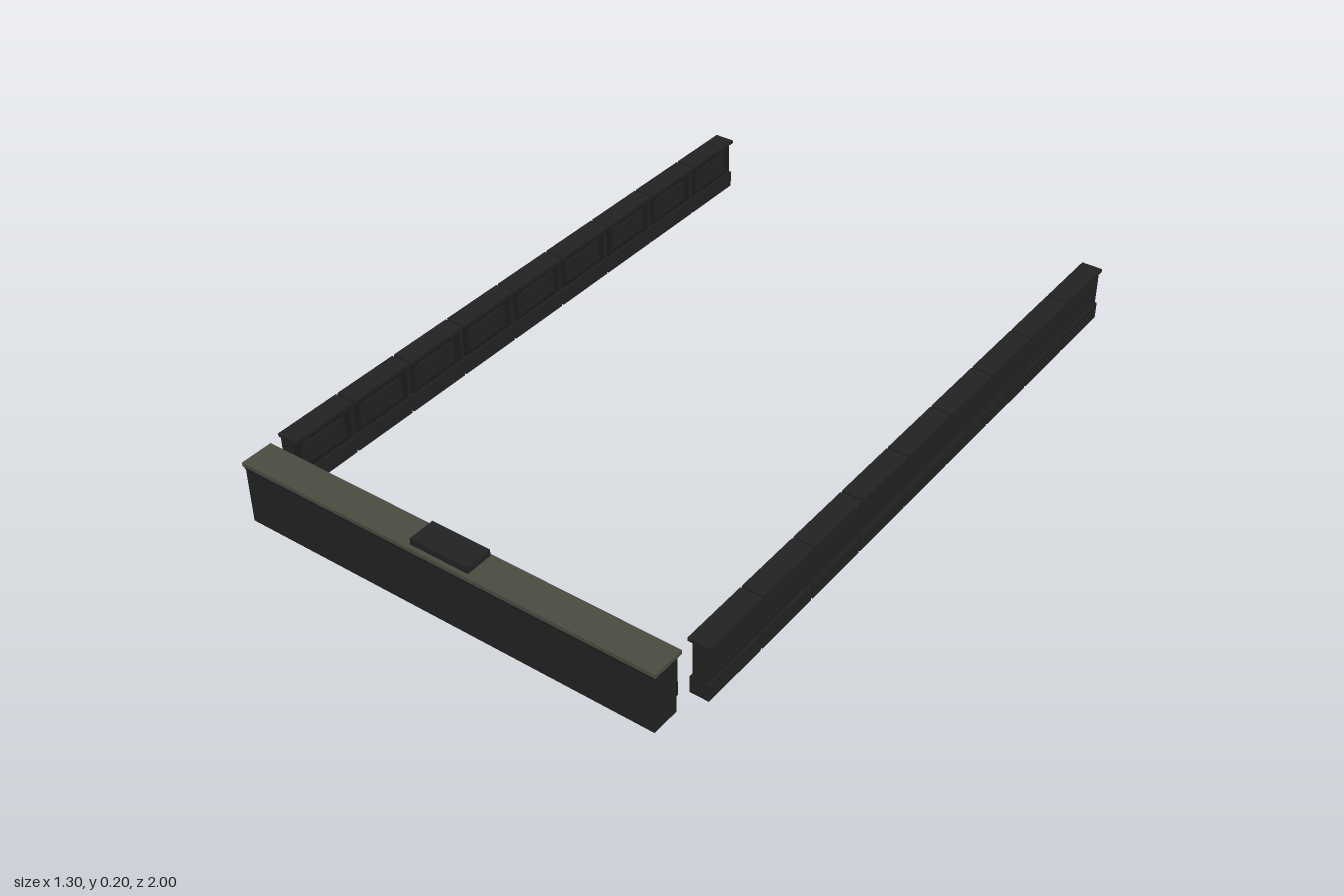
import * as THREE from 'three';

const mat = (name, color) => {
  const m = new THREE.MeshStandardMaterial({ color });
  m.name = name;
  return m;
};

export function createModel() {
  const black = mat('black board', 0x222222);
  const trim = mat('dark trim', 0x1c1c1c);
  const olive = mat('olive ledge', 0x4a4c40);

  // Box given by its lower and upper corners
  const box = (parent, name, m, x0, x1, y0, y1, z0, z1) => {
    const mesh = new THREE.Mesh(new THREE.BoxGeometry(x1 - x0, y1 - y0, z1 - z0), m);
    mesh.position.set((x0 + x1) / 2, (y0 + y1) / 2, (z0 + z1) / 2);
    mesh.name = name;
    parent.add(mesh);
    return mesh;
  };

  // Rectangular frame in the XY plane, facing +z
  const frame = (w, h, border, depth) => {
    const s = new THREE.Shape();
    s.moveTo(-w / 2, -h / 2).lineTo(w / 2, -h / 2).lineTo(w / 2, h / 2).lineTo(-w / 2, h / 2).closePath();
    const a = w / 2 - border, b = h / 2 - border;
    const hole = new THREE.Path();
    hole.moveTo(-a, -b).lineTo(-a, b).lineTo(a, b).lineTo(a, -b).closePath();
    s.holes.push(hole);
    return new THREE.ExtrudeGeometry(s, { depth, bevelEnabled: false });
  };

  const model = new THREE.Group();
  model.name = 'barrierEnclosure';

  // Front barrier with its ledge and raised top plate
  const front = new THREE.Group();
  front.name = 'frontBarrier';
  model.add(front);
  box(front, 'frontWall', black, -0.607, 0.607, 0.006, 0.171, 0.917, 0.997);
  box(front, 'ledgeLip', trim, -0.61, 0.61, 0.165, 0.172, 0.91, 0.998);
  box(front, 'topLedge', olive, -0.614, 0.614, 0.172, 0.183, 0.906, 1);
  box(front, 'topPlate', black, -0.086, 0.086, 0.183, 0.201, 0.911, 0.988);

  // Row of framed panels on the inner face of the front barrier
  const doorFrame = frame(0.136, 0.116, 0.014, 0.014);
  for (let i = 0; i < 8; i++) {
    const x = (i - 3.5) * 0.152;
    const door = new THREE.Mesh(doorFrame, trim);
    door.name = 'panelFrame';
    door.position.set(x, 0.098, 0.917);
    door.rotation.y = Math.PI;
    front.add(door);
    box(front, 'innerPanel', black, x - 0.045, x + 0.045, 0.063, 0.133, 0.899, 0.917);
    box(front, 'panelLatch', trim, x + 0.028, x + 0.04, 0.09, 0.104, 0.894, 0.899);
  }

  // Side barriers: nine separate boards each, framed on the inner face
  const boardFrame = frame(0.186, 0.096, 0.014, 0.007);
  for (const side of [1, -1]) {
    const row = new THREE.Group();
    row.name = side > 0 ? 'leftBarrier' : 'rightBarrier';
    model.add(row);
    const sideBox = (name, m, a, b, y0, y1, z0, z1) =>
      box(row, name, m, Math.min(side * a, side * b), Math.max(side * a, side * b), y0, y1, z0, z1);
    for (let i = 0; i < 9; i++) {
      const z0 = -1 + i * 0.2064, z1 = z0 + 0.2, zc = (z0 + z1) / 2;
      sideBox('board', black, 0.604, 0.641, 0.05, 0.155, z0 + 0.001, z1 - 0.001);
      sideBox('boardBase', black, 0.594, 0.646, 0.004, 0.052, z0, z1);
      sideBox('boardCap', black, 0.588, 0.648, 0.154, 0.163, z0, z1);
      const f = new THREE.Mesh(boardFrame, trim);
      f.name = 'boardFrame';
      f.position.set(side * 0.604, 0.103, zc);
      f.rotation.y = -side * Math.PI / 2;
      row.add(f);
      sideBox('boardInset', black, 0.6, 0.604, 0.077, 0.129, zc - 0.065, zc + 0.065);
    }
  }
  return model;
}
